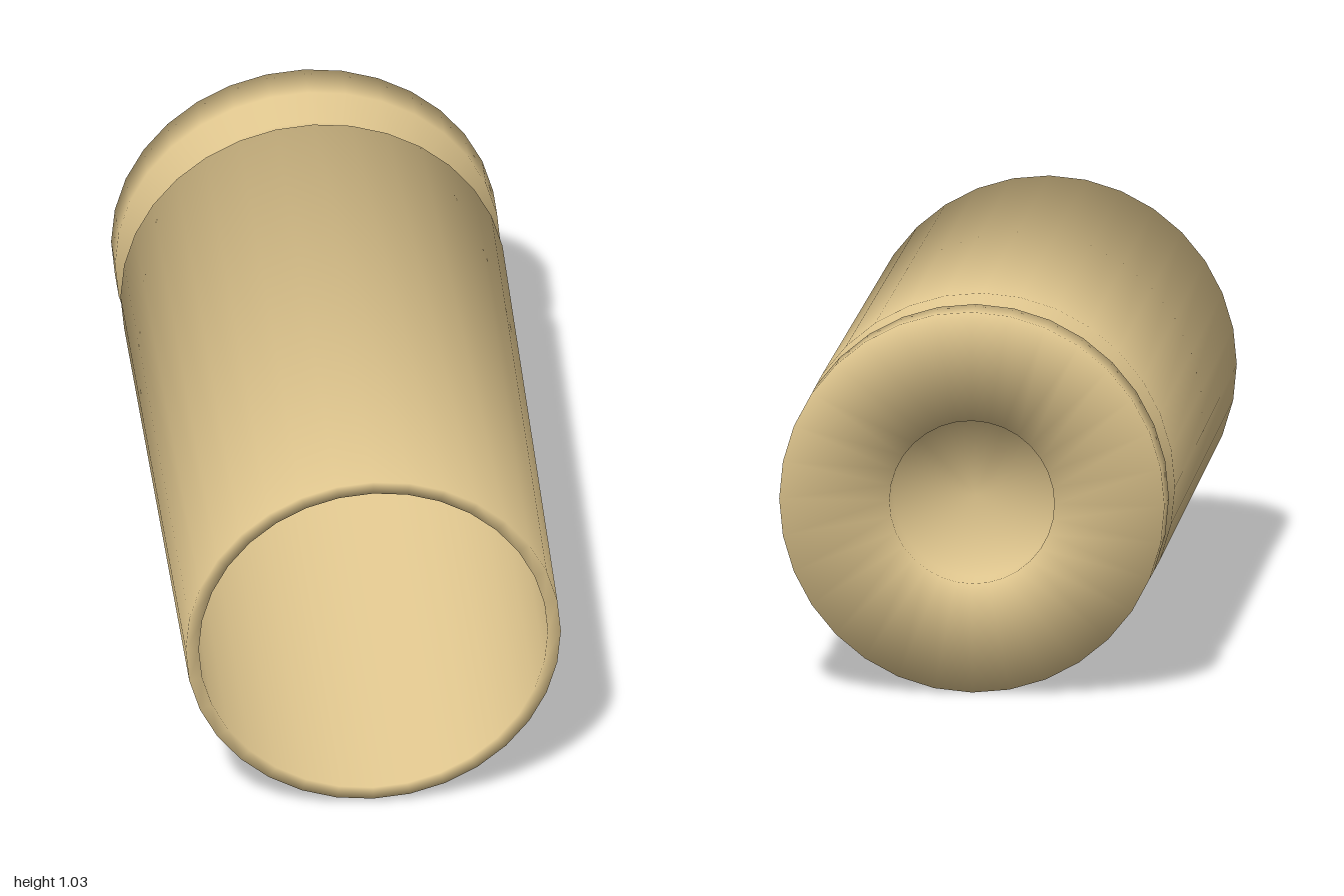
import * as THREE from 'three';

// Half profile from the recess in the base, along the outside, to the floor inside: [radius, z]
const PROFILE = [
  [0, -0.9], [0.22, -0.9], [0.22, -1],             // recess in the base
  [0.514, -1], [0.514, -0.887],                    // rim
  [0.447, -0.845], [0.447, -0.78],                 // extractor groove
  [0.514, -0.73], [0.5, 1],                        // tapering outer wall
  [0.465, 1], [0.465, -0.68], [0, -0.68],          // lip, inner wall and floor
];
const SIDES = 32;

// Rounds the shading over every profile corner: the mean of both neighbouring segment normals
function smoothProfileNormals(geometry, points) {
  const segmentNormals = points.slice(1).map((p, i) => {
    const d = p.clone().sub(points[i]).normalize();
    return new THREE.Vector2(d.y, -d.x);
  });
  const normal = geometry.attributes.normal;
  const n = points.length;
  for (let j = 0; j < n; j++) {
    const a = segmentNormals[Math.max(j - 1, 0)];
    const b = segmentNormals[Math.min(j, n - 2)];
    const m = a.clone().add(b).normalize();
    for (let i = 0; i <= SIDES; i++) {
      const phi = (i / SIDES) * Math.PI * 2;
      normal.setXYZ(i * n + j, m.x * Math.sin(phi), m.y, m.x * Math.cos(phi));
    }
  }
}

export function createModel() {
  const group = new THREE.Group();
  group.name = 'emptyCasing';

  const brass = new THREE.MeshStandardMaterial({ color: 0xdcc38c });
  brass.name = 'brass';

  // Hollow casing, turned so that its open mouth faces +z
  const points = PROFILE.map(([r, z]) => new THREE.Vector2(r, z));
  const geometry = new THREE.LatheGeometry(points, SIDES);
  smoothProfileNormals(geometry, points);
  geometry.rotateX(Math.PI / 2);

  const casing = new THREE.Mesh(geometry, brass);
  casing.name = 'casing';
  casing.position.y = 0.518;
  group.add(casing);
  return group;
}
